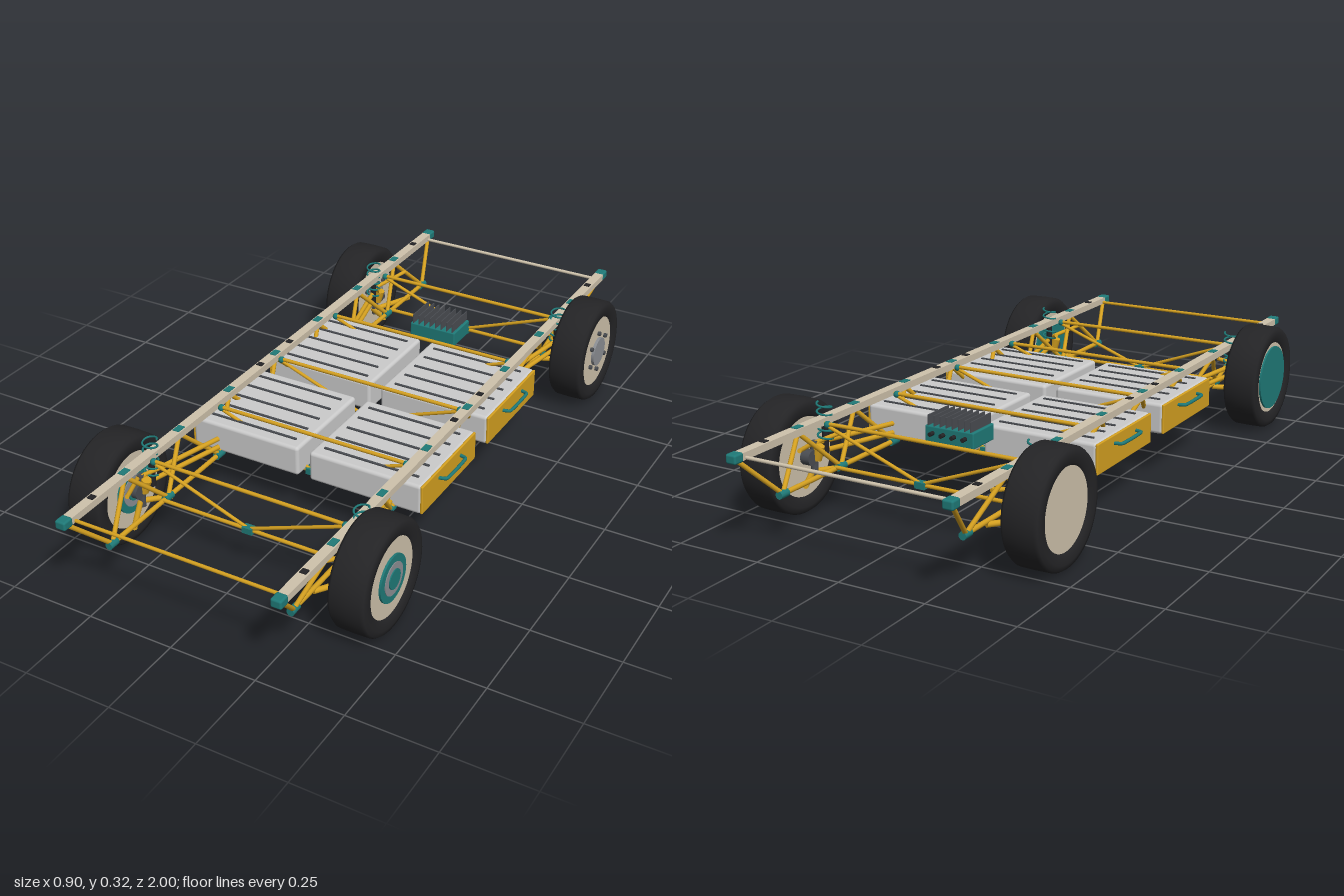
import * as THREE from 'three';
import { RoundedBoxGeometry } from 'three/addons/geometries/RoundedBoxGeometry.js';

const mat = (color) => new THREE.MeshStandardMaterial({ color });
const gold = mat(0xd4a020), teal = mat(0x1f7a78), beige = mat(0xcfc3ac);
const black = mat(0x242426), dark = mat(0x4a4d52), grey = mat(0xcccccc), metal = mat(0x8c8f94);

function add(parent, name, geometry, material, x = 0, y = 0, z = 0) {
  const m = new THREE.Mesh(geometry, material);
  m.name = name;
  m.position.set(x, y, z);
  parent.add(m);
  return m;
}

const box = (w, h, d) => new THREE.BoxGeometry(w, h, d);
const ball = (r) => new THREE.SphereGeometry(r, 14, 10);

// Round bar between two points
function rod(parent, name, a, b, r, material = gold) {
  const p = new THREE.Vector3(...a), q = new THREE.Vector3(...b);
  const d = q.clone().sub(p);
  const m = add(parent, name, new THREE.CylinderGeometry(r, r, d.length(), 12), material);
  m.position.copy(p).add(q).multiplyScalar(0.5);
  m.quaternion.setFromUnitVectors(new THREE.Vector3(0, 1, 0), d.normalize());
  return m;
}

// Disc with its axis along x
function disc(parent, name, r, w, material, x, y = 0, z = 0, sides = 40) {
  return add(parent, name, new THREE.CylinderGeometry(r, r, w, sides).rotateZ(-Math.PI / 2), material, x, y, z);
}

const RX = 0.317, RY = 0.257, LX = 0.275, LY = 0.13, BAY = 0.245;

// One side of the ladder truss
function sideFrame(s) {
  const g = new THREE.Group();
  g.name = 'sideFrame';
  add(g, 'topRail', box(0.028, 0.02, 1.96), beige, s * RX, RY, 0);
  rod(g, 'lowerTube', [s * LX, LY, -0.86], [s * LX, LY, 0.86], 0.007);
  for (let i = -4; i <= 4; i++) {
    const z = i * BAY;
    if (Math.abs(i) === 4) add(g, 'endCap', new RoundedBoxGeometry(0.032, 0.026, 0.034, 2, 0.006), teal, s * RX, RY, z * 1.003);
    else add(g, 'railSleeve', box(0.02, 0.024, 0.03), teal, s * RX, RY, z);
    // Zigzag web bars and the lower joints
    if (i < 4) {
      const m = z + BAY / 2;
      rod(g, 'webBar', [s * RX, RY - 0.006, z], [s * LX, LY, m], 0.0065);
      rod(g, 'webBar', [s * LX, LY, m], [s * RX, RY - 0.006, z + BAY], 0.0065);
      rod(g, 'lowerSleeve', [s * LX, LY, m - 0.016], [s * LX, LY, m + 0.016], 0.011, teal);
    }
  }
  for (const z of [-0.87, -0.08, 0.08, 0.87]) add(g, 'railPad', box(0.018, 0.003, 0.018), black, s * RX, RY + 0.011, z);
  return g;
}

// Cross frame: top bar, bottom bar and a V between them
function crossFrame(z) {
  const g = new THREE.Group();
  g.name = 'crossFrame';
  rod(g, 'topBar', [-RX, 0.252, z], [RX, 0.252, z], 0.0055);
  rod(g, 'bottomBar', [-LX, LY + 0.004, z], [LX, LY + 0.004, z], 0.0055);
  for (const s of [-1, 1]) {
    rod(g, 'diagonal', [0, LY + 0.006, z], [s * 0.3, 0.248, z], 0.005);
    add(g, 'barEnd', ball(0.01), teal, s * 0.295, 0.25, z);
  }
  add(g, 'centreJoint', box(0.03, 0.018, 0.022), teal, 0, LY + 0.004, z);
  return g;
}

// Battery module with ribbed lid, outer end panel and handle
function batteryModule(sx, sz) {
  const g = new THREE.Group();
  g.name = 'batteryModule';
  g.position.set(sx * 0.19, 0.179, sz * 0.2);
  add(g, 'case', new RoundedBoxGeometry(0.345, 0.09, 0.322, 3, 0.01), grey);
  for (let i = -2; i <= 2; i++) add(g, 'lidRib', box(0.29, 0.005, 0.007), dark, 0, 0.046, i * 0.061);
  add(g, 'endPanel', new RoundedBoxGeometry(0.008, 0.086, 0.318, 2, 0.003), gold, sx * 0.1725, 0, 0);
  const grip = new THREE.CatmullRomCurve3([[0.17, -0.065], [0.195, -0.057], [0.197, -0.045], [0.197, 0.045], [0.195, 0.057], [0.17, 0.065]]
    .map(([x, z]) => new THREE.Vector3(sx * x, 0.02, z)));
  add(g, 'handle', new THREE.TubeGeometry(grip, 32, 0.005, 8), teal);
  return g;
}

// Finned power unit behind the batteries
function powerUnit() {
  const g = new THREE.Group();
  g.name = 'powerUnit';
  g.position.set(0, 0.224, -0.452);
  add(g, 'housing', new RoundedBoxGeometry(0.152, 0.046, 0.104, 2, 0.004), teal);
  for (let i = 0; i < 8; i++) add(g, 'coolingFin', box(0.003, 0.03, 0.1), dark, (i - 3.5) * 0.019, 0.037, 0);
  for (let i = 0; i < 4; i++) rod(g, 'connector', [(i - 1.5) * 0.034, 0.004, -0.05], [(i - 1.5) * 0.034, 0.004, -0.068], 0.006, black);
  return g;
}

// Wheel with its axis along x; front and rear hubs differ
function wheel(front) {
  const g = new THREE.Group();
  g.name = front ? 'frontWheel' : 'rearWheel';
  const profile = [[0.108, -0.042], [0.116, -0.05], [0.138, -0.053], [0.152, -0.05], [0.158, -0.041], [0.159, 0],
    [0.158, 0.041], [0.152, 0.05], [0.138, 0.053], [0.116, 0.05], [0.108, 0.042]].map(([r, y]) => new THREE.Vector2(r, y));
  add(g, 'tyre', new THREE.LatheGeometry(profile, 64).rotateZ(-Math.PI / 2), black);
  disc(g, 'rim', 0.112, 0.088, beige, 0);
  if (front) {
    disc(g, 'brakeDisc', 0.098, 0.008, teal, -0.046);
    disc(g, 'hubRing', 0.066, 0.008, teal, 0.046);
    disc(g, 'hubFace', 0.046, 0.006, metal, 0.049);
    disc(g, 'hubCap', 0.028, 0.01, teal, 0.05);
  } else {
    disc(g, 'hubCap', 0.045, 0.014, metal, 0.046);
    for (let i = 0; i < 6; i++) {
      const a = (i * Math.PI) / 3;
      disc(g, 'wheelBolt', 0.007, 0.012, dark, 0.047, 0.062 * Math.cos(a), 0.062 * Math.sin(a), 8);
    }
  }
  return g;
}

// Suspension of one corner
function suspension(s, e) {
  const g = new THREE.Group();
  g.name = 'suspension';
  const zw = e * 0.645, sx = s * 0.325, sz = e * 0.61;
  const coil = [];
  for (let i = 0; i <= 72; i++) {
    const a = (i / 72) * Math.PI * 10;
    coil.push(new THREE.Vector3(sx + 0.02 * Math.cos(a), 0.19 + 0.11 * (i / 72), sz + 0.02 * Math.sin(a)));
  }
  add(g, 'coilSpring', new THREE.TubeGeometry(new THREE.CatmullRomCurve3(coil), 180, 0.003, 6), teal);
  rod(g, 'damper', [sx, 0.15, sz], [sx, 0.25, sz], 0.009, black);
  rod(g, 'damperBody', [s * 0.33, 0.15, zw], [s * 0.318, 0.19, zw], 0.014);
  // Arms reach inboard and along the frame to the upright
  for (const y of [0.155, 0.182]) rod(g, 'trailingArm', [s * LX, y, e * 0.37], [s * 0.335, y + 0.012, zw], 0.007);
  for (const dz of [-0.05, 0.12]) {
    rod(g, 'lowerArm', [s * LX, 0.122, zw + e * dz], [s * 0.345, 0.113, zw], 0.008);
    rod(g, 'upperArm', [s * 0.29, 0.215, zw + e * dz], [s * 0.345, 0.19, zw], 0.006);
  }
  rod(g, 'upright', [s * 0.338, 0.1, zw], [s * 0.338, 0.2, zw], 0.01, dark);
  rod(g, 'stubAxle', [s * 0.325, 0.16, e * 0.665], [s * 0.38, 0.16, e * 0.665], 0.022, dark);
  return g;
}

export function createModel() {
  const model = new THREE.Group();
  model.name = 'rollingChassis';
  for (const s of [-1, 1]) {
    model.add(sideFrame(s));
    for (const e of [-1, 1]) {
      model.add(batteryModule(s, e), suspension(s, e));
      const w = wheel(e > 0);
      w.position.set(s * 0.397, 0.159, e * 0.665);
      model.add(w);
    }
    rod(model, 'endBar', [-RX, 0.252, s * 0.955], [RX, 0.252, s * 0.955], 0.005, s > 0 ? gold : beige);
  }
  for (const z of [-0.637, -0.317, 0, 0.317, 0.637]) model.add(crossFrame(z));
  model.add(powerUnit());
  return model;
}
